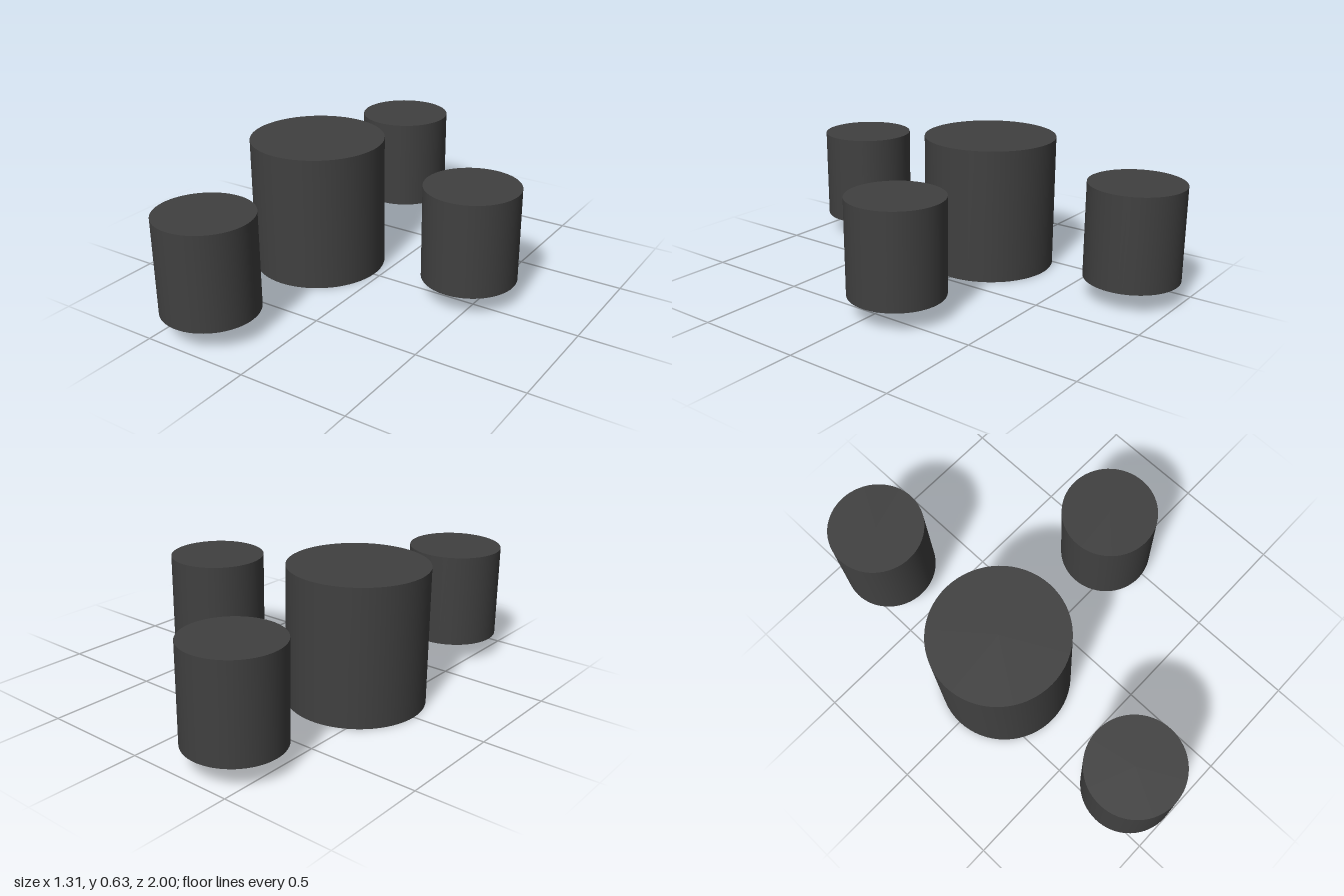
import * as THREE from 'three';

export function createModel() {
  const group = new THREE.Group();
  const material = new THREE.MeshStandardMaterial({ color: 0x404040 });

  // Upright solid drum, placed by its centre
  function addDrum(name, radius, height, x, z) {
    const mesh = new THREE.Mesh(new THREE.CylinderGeometry(radius, radius, height, 64), material);
    mesh.name = name;
    mesh.position.set(x, 0.314, z);
    group.add(mesh);
  }

  // Large central drum
  addDrum('centralDrum', 0.313, 0.628, -0.344, -0.002);

  // Three smaller drums around it, raised to share its mid-height
  const radius = 0.218, height = 0.437;
  addDrum('frontDrum', radius, height, -0.344, 0.782);
  addDrum('backDrum', radius, height, -0.344, -0.782);
  addDrum('leftDrum', radius, height, 0.437, -0.072);

  return group;
}
